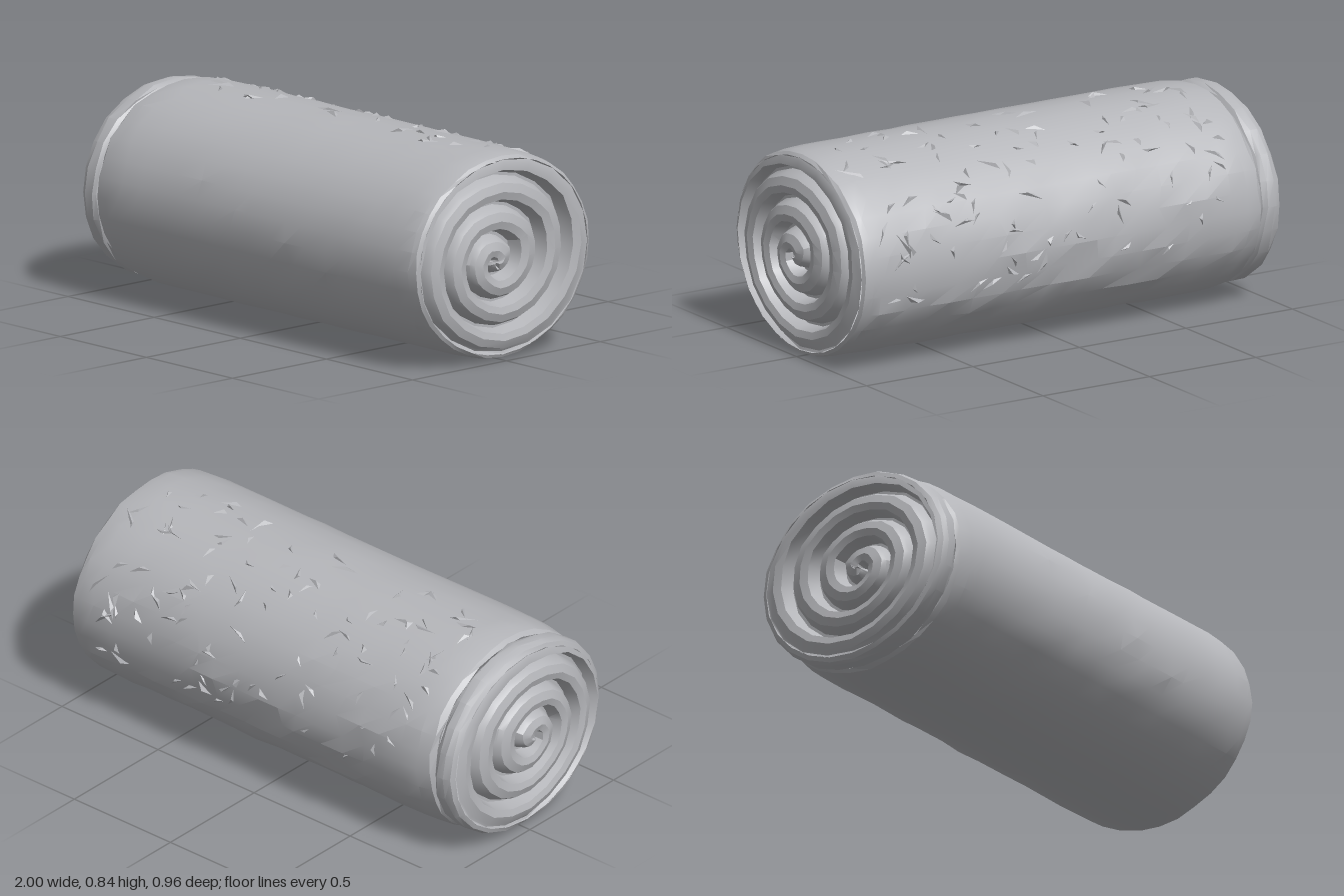
import * as THREE from 'three';
import { toCreasedNormals, mergeVertices } from 'three/addons/utils/BufferGeometryUtils.js';

const TAU = Math.PI * 2;
const RY = 0.417, RZ = 0.475, CY = 0.418; // oval section of the roll
const PITCH = 0.27, RIM = 0.94;           // spiral spacing and edge, relative to the oval

const hash = (a, b) => {
  const s = Math.sin(a * 127.1 + b * 311.7) * 43758.5453;
  return s - Math.floor(s);
};

// Point on the oval at angle t (0 = front, quarter turn = top), scaled by r
const oval = (x, t, r) => [x, Math.max(0, CY + RY * r * Math.sin(t)), RZ * r * Math.cos(t)];

// Surface through a grid of points; the front side faces du x dv
function gridSurface(nu, nv, point, crease, flip = false) {
  const pos = [], idx = [];
  for (let i = 0; i <= nu; i++) for (let j = 0; j <= nv; j++) pos.push(...point(i, j));
  for (let i = 0; i < nu; i++) {
    for (let j = 0; j < nv; j++) {
      const a = i * (nv + 1) + j, b = a + nv + 1;
      if (flip) idx.push(a, b + 1, b, a, a + 1, b + 1);
      else idx.push(a, b, b + 1, a, b + 1, a + 1);
    }
  }
  let g = new THREE.BufferGeometry();
  g.setAttribute('position', new THREE.Float32BufferAttribute(pos, 3));
  g.setIndex(idx);
  g = mergeVertices(g, 1e-5);
  return toCreasedNormals(g, crease);
}

// Tube of oval rings [x, scale, roughness], rougher at the back
function ovalSkin(rings, sides, crease) {
  return gridSurface(rings.length - 1, sides, (i, j) => {
    const [x, s, rough] = rings[i], k = j % sides, t = (k / sides) * TAU;
    const back = 0.6 + 0.7 * Math.max(0, -Math.cos(t - 0.4));
    const dx = (hash(i + 3, k) - 0.5) * rough * 3;
    return oval(x + dx, t, s + (hash(i, k + 9) - 0.5) * rough * back);
  }, crease);
}

// Wound end face: a ribbon with a sunken seam, swept along an inward spiral
function spiralEnd(side, size) {
  const profile = [[0, 0.065], [0.1, 0.065], [0.24, 0.008], [0.5, 0], [0.8, 0.012], [0.9, 0.03], [1, 0.065]];
  const perTurn = 20, turns = 5.3;
  return gridSurface(Math.round(perTurn * turns), profile.length - 1, (i, j) => {
    const turn = i / perTurn - 1, [f, d] = profile[j];
    const wobble = (hash(i % perTurn, 5) - 0.5) * 0.02;
    const raw = 0.86 - PITCH * turn + PITCH * f + wobble;
    const r = THREE.MathUtils.clamp(raw, 0, RIM);
    const fade = THREE.MathUtils.clamp((RIM - r) / 0.08, 0, 1);
    const depth = r === 0 ? 0.04 : d * fade + 0.015 * (1 - fade);
    const p = oval(side * (1 - depth), turn * TAU, r * size);
    p[1] -= 0.018 * (1 - r);
    p[2] += 0.04 * (1 - r);
    return p;
  }, 0.5, side < 0);
}

// Small raised splinters scattered over the upper back
function splinters(count) {
  const pos = [];
  for (let n = 0; n < count; n++) {
    const x = -0.78 + 1.68 * hash(n, 1), t = 1.45 + 2.0 * hash(n, 2);
    const turn = hash(n, 3) * TAU, len = 0.03 + 0.05 * hash(n, 4), wid = 0.012 + 0.012 * hash(n, 5);
    const at = (u, v, r) => {
      const dx = u * Math.cos(turn) - v * Math.sin(turn);
      const dt = (u * Math.sin(turn) + v * Math.cos(turn)) / 0.45;
      return oval(x + dx, t + dt, r);
    };
    const base = [at(-len, 0, 0.982), at(len, -wid * 0.5, 0.982), at(len * 0.3, wid, 0.982)];
    const tip = at(len * (hash(n, 6) - 0.4), wid * 0.6, 1.012 + 0.012 * hash(n, 7));
    for (let k = 0; k < 3; k++) pos.push(...base[k], ...base[(k + 1) % 3], ...tip);
  }
  const g = new THREE.BufferGeometry();
  g.setAttribute('position', new THREE.Float32BufferAttribute(pos, 3));
  g.computeVertexNormals();
  return g;
}

export function createModel() {
  const grey = new THREE.MeshStandardMaterial({ color: 0xb5b6ba, side: THREE.DoubleSide });
  grey.name = 'plain grey';
  const model = new THREE.Group();
  model.name = 'roll';
  const add = (name, geometry) => {
    const mesh = new THREE.Mesh(geometry, grey);
    mesh.name = name;
    model.add(mesh);
    return mesh;
  };

  // Outer wrap, slightly tapered and rounded at both ends
  const wrap = [[-0.87, 0.86, 0], [-0.89, 0.93, 0.004], [-0.875, 0.965, 0.006], [-0.82, 0.988, 0.006]];
  for (let i = 0; i <= 15; i++) wrap.push([-0.74 + i * 0.108, 0.996, 0.017]);
  wrap.push([0.945, 0.985, 0.006], [0.975, 0.97, 0.003], [0.985, RIM, 0]);
  add('outerWrap', ovalSkin(wrap, 32, 0.3));
  add('surfaceSplinters', splinters(110));

  // Inner layer standing out as a collar at the right-hand end
  const inner = 0.955;
  const collar = [[-0.985, RIM * inner, 0], [-0.975, 0.94, 0.004], [-0.95, 0.962, 0.006],
    [-0.91, 0.962, 0.006], [-0.895, 0.94, 0.006], [-0.875, 0.86, 0]];
  add('collar', ovalSkin(collar, 24, 0.4));

  // Spiral faces
  add('leftSpiralEnd', spiralEnd(1, 1));
  add('rightSpiralEnd', spiralEnd(-1, inner));
  return model;
}
